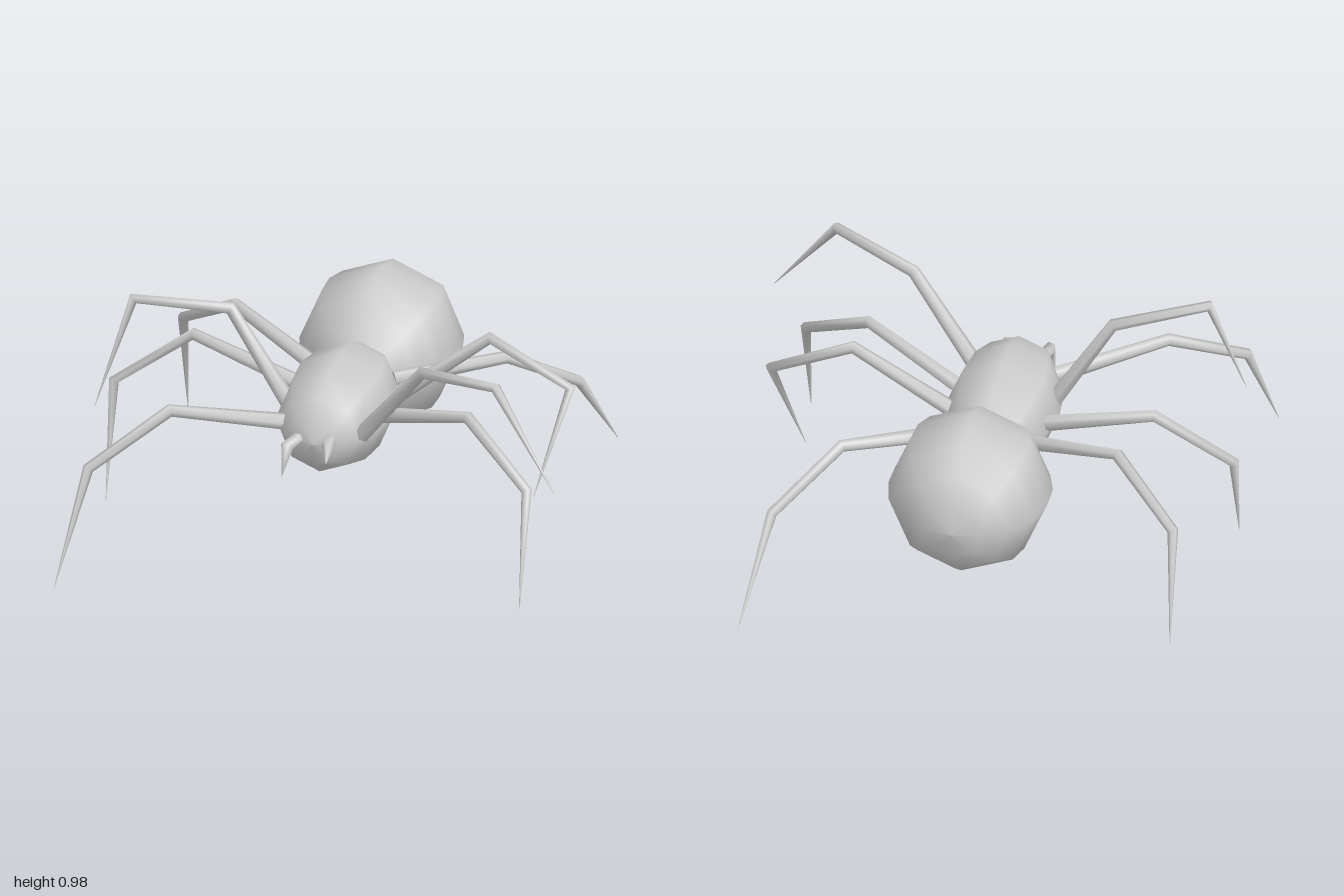
import * as THREE from 'three';

const material = new THREE.MeshStandardMaterial({ color: 0xcccccc });
const SIDES = 6;

// Tapered limb lofted along a polyline: six-sided rings, mitred at the joints, capped at the base
function limb(name, points, radii) {
  const p = points.map((c) => new THREE.Vector3(...c));
  const dirs = p.slice(1).map((q, i) => q.clone().sub(p[i]).normalize());
  const frame = new THREE.Quaternion().setFromUnitVectors(new THREE.Vector3(0, 0, 1), dirs[0]);
  let last = dirs[0];
  const positions = [];
  const index = [];
  const ring = (centre, r) => {
    for (let s = 0; s < SIDES; s++) {
      const a = (s / SIDES) * Math.PI * 2;
      const v = new THREE.Vector3(Math.cos(a) * r, Math.sin(a) * r, 0);
      positions.push(...v.applyQuaternion(frame).add(centre));
    }
  };
  ring(p[0], 0);
  ring(p[0], radii[0]);
  p.forEach((centre, i) => {
    const before = dirs[Math.max(i - 1, 0)];
    const after = dirs[Math.min(i, dirs.length - 1)];
    const t = before.clone().add(after).normalize();
    frame.premultiply(new THREE.Quaternion().setFromUnitVectors(last, t));
    last = t;
    ring(centre, radii[i]);
  });
  for (let row = 0; row < p.length + 1; row++) {
    if (row === 1) continue; // hard edge between cap and limb
    for (let s = 0; s < SIDES; s++) {
      const a = row * SIDES + s;
      const b = row * SIDES + ((s + 1) % SIDES);
      index.push(a, b, b + SIDES, a, b + SIDES, a + SIDES);
    }
  }
  const geometry = new THREE.BufferGeometry();
  geometry.setAttribute('position', new THREE.Float32BufferAttribute(positions, 3));
  geometry.setIndex(index);
  geometry.computeVertexNormals();
  const mesh = new THREE.Mesh(geometry, material);
  mesh.name = name;
  return mesh;
}

// Eight-sided body section turned about the z axis; profile is [radius, z] from back to front
function bodySection(name, profile) {
  const geometry = new THREE.LatheGeometry(profile.map(([r, z]) => new THREE.Vector2(r, z)), 8);
  geometry.rotateX(Math.PI / 2);
  const mesh = new THREE.Mesh(geometry, material);
  mesh.name = name;
  mesh.position.set(-0.05, 0.53, 0);
  return mesh;
}

export function createModel() {
  const group = new THREE.Group();
  group.name = 'spider';

  group.add(bodySection('abdomen', [
    [0, -0.82], [0.115, -0.8], [0.215, -0.735], [0.288, -0.64], [0.316, -0.53],
    [0.314, -0.43], [0.28, -0.335], [0.22, -0.26], [0.147, -0.2],
  ]));
  group.add(bodySection('thorax', [
    [0.147, -0.2], [0.195, -0.1], [0.224, 0.05], [0.206, 0.2],
    [0.16, 0.32], [0.1, 0.385], [0, 0.41],
  ]));

  // Legs: base, knee, ankle and tip, each with its own pose
  const legs = {
    leftFrontLeg: [[0.11, 0.54, 0.29], [0.38, 0.89, 0.37], [0.72, 0.945, 0.51], [0.99, 0.57, 0.61]],
    leftSecondLeg: [[0.14, 0.55, 0.13], [0.54, 0.68, 0.29], [0.83, 0.49, 0.46], [0.84, 0.04, 0.59]],
    leftThirdLeg: [[0.14, 0.55, -0.02], [0.51, 0.83, -0.095], [0.84, 0.67, -0.08], [0.73, 0.24, 0.05]],
    leftBackLeg: [[0.1, 0.55, -0.17], [0.48, 0.585, -0.41], [0.7, 0.395, -0.65], [0.77, 0.02, -0.93]],
    rightFrontLeg: [[-0.2, 0.55, 0.29], [-0.6, 0.64, 0.5], [-0.86, 0.46, 0.725], [-0.935, 0.03, 0.93]],
    rightSecondLeg: [[-0.235, 0.55, 0.13], [-0.465, 0.93, 0.145], [-0.815, 0.985, 0.28], [-0.94, 0.55, 0.38]],
    rightThirdLeg: [[-0.24, 0.55, -0.03], [-0.68, 0.68, -0.065], [-0.98, 0.465, 0], [-0.96, 0.03, 0.17]],
    rightBackLeg: [[-0.2, 0.55, -0.17], [-0.6, 0.68, -0.35], [-0.865, 0.49, -0.535], [-0.88, 0.03, -0.65]],
  };
  for (const [name, points] of Object.entries(legs)) {
    group.add(limb(name, points, [0.033, 0.025, 0.022, 0.001]));
  }

  // Fangs, one pointing forward and one hooked down
  group.add(limb('leftFang', [[0.01, 0.54, 0.36], [0.025, 0.56, 0.45], [0.04, 0.52, 0.53]], [0.023, 0.026, 0.001]));
  group.add(limb('rightFang', [[-0.11, 0.54, 0.36], [-0.135, 0.54, 0.47], [-0.155, 0.41, 0.475]], [0.023, 0.028, 0.001]));

  return group;
}
